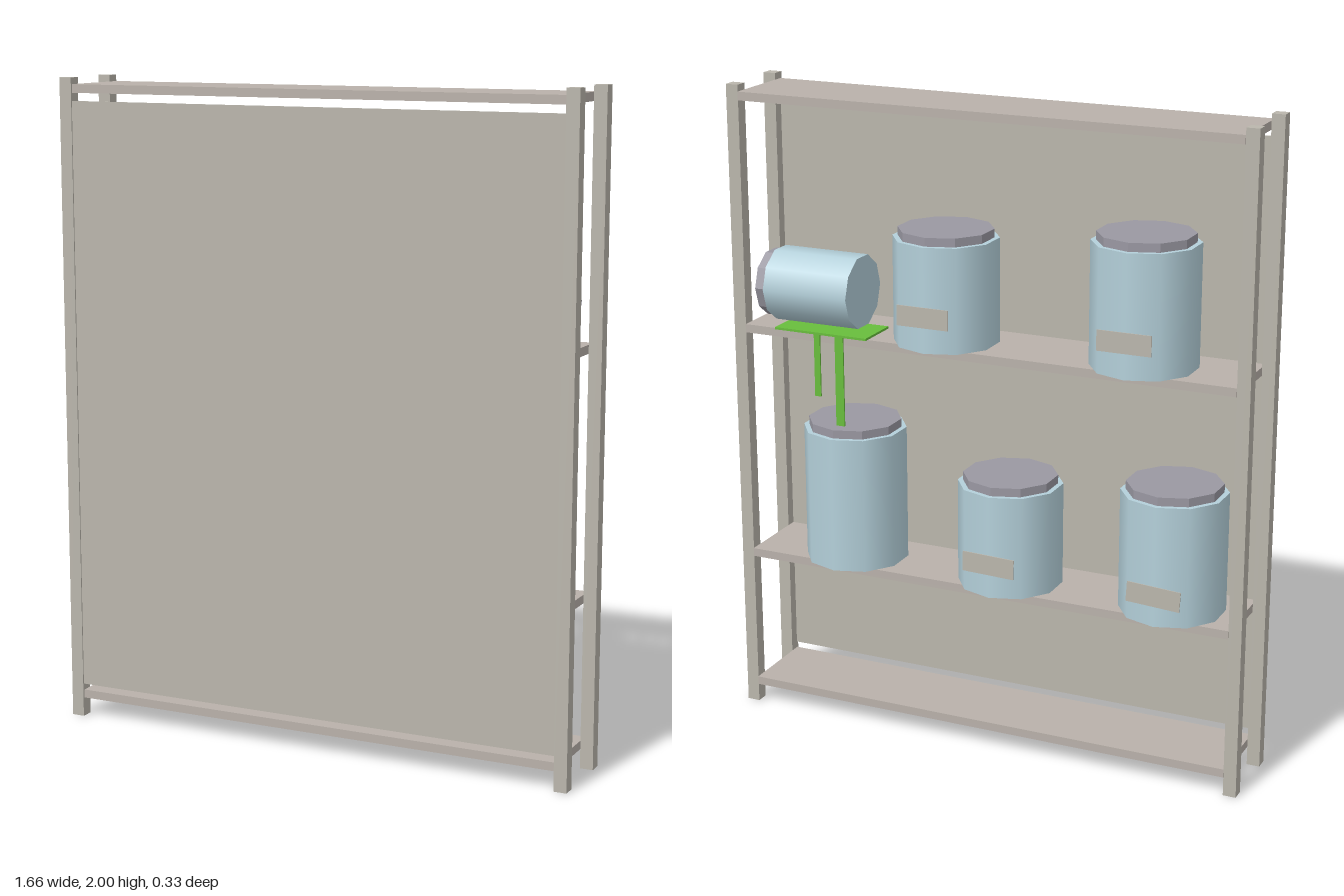
import * as THREE from 'three';

const mat = (name, color, extra = {}) => {
  const m = new THREE.MeshStandardMaterial({ color, ...extra });
  m.name = name;
  return m;
};

export function createModel() {
  const model = new THREE.Group();
  model.name = 'storageShelf';

  const frame = mat('greyWood', 0xbab6ac);
  const board = mat('warmGreyBoard', 0xb9b1aa);
  const glass = mat('paleBlueJar', 0xb4d0da);
  const lidMat = mat('greyLid', 0x9a98a2);
  const goo = mat('greenSpill', 0x68bd3c);

  const add = (parent, name, geometry, material, x, y, z) => {
    const mesh = new THREE.Mesh(geometry, material);
    mesh.name = name;
    mesh.position.set(x, y, z);
    parent.add(mesh);
    return mesh;
  };
  const box = (name, w, h, d, material, x, y, z) =>
    add(model, name, new THREE.BoxGeometry(w, h, d), material, x, y, z);

  // Four corner posts
  for (const x of [-0.81, 0.81]) {
    for (const z of [0.145, -0.077]) box('post', 0.04, 2, 0.04, frame, x, 1, z);
  }

  // Four shelves and the closed panel on the front side
  for (const y of [0.072, 0.516, 1.252, 1.967]) {
    box('shelf', 1.58, 0.026, 0.258, board, 0, y, 0.03);
  }
  box('panel', 1.58, 1.825, 0.004, frame, 0, 1.0175, 0.159);

  // Ten-sided jar standing on its base, with a slightly narrower lid
  const makeJar = (radius, height, lidHeight) => {
    const jar = new THREE.Group();
    jar.name = 'jar';
    const bodyH = height - lidHeight;
    add(jar, 'jarBody', new THREE.CylinderGeometry(radius, radius, bodyH, 10), glass, 0, bodyH / 2, 0);
    const lid = new THREE.CylinderGeometry(radius * 0.9, radius * 0.9, lidHeight, 10).toNonIndexed();
    lid.computeVertexNormals();
    add(jar, 'jarLid', lid, lidMat, 0, bodyH + lidHeight / 2, 0);
    model.add(jar);
    return jar;
  };

  // Standing jars: x, base y, height, label y (0 for none), label tilt
  const jars = [
    [0.47, 0.529, 0.451, 0, 0],
    [-0.055, 0.529, 0.345, 0.635, 0.03],
    [-0.58, 0.529, 0.395, 0.625, 0.06],
    [0.155, 1.265, 0.345, 1.375, 0],
    [-0.475, 1.265, 0.395, 1.375, 0],
  ];
  for (const [x, y, height, labelY, tilt] of jars) {
    makeJar(0.16, height, 0.026).position.set(x, y, 0);
    if (labelY) box('label', 0.166, 0.062, 0.003, frame, x, labelY, -0.1635).rotation.z = tilt;
  }

  // Jar lying on its side, lid towards the left end
  const fallen = makeJar(0.114, 0.315, 0.033);
  fallen.name = 'fallenJar';
  fallen.rotation.z = -Math.PI / 2;
  fallen.position.set(0.435, 1.383, 0);

  // Spill under the fallen jar, dripping over the shelf edge
  box('spill', 0.31, 0.007, 0.15, goo, 0.525, 1.2685, -0.037);
  box('shortDrip', 0.02, 0.2, 0.005, goo, 0.54, 1.168, -0.1025);
  box('longDrip', 0.028, 0.285, 0.005, goo, 0.465, 1.1255, -0.1025);

  return model;
}
